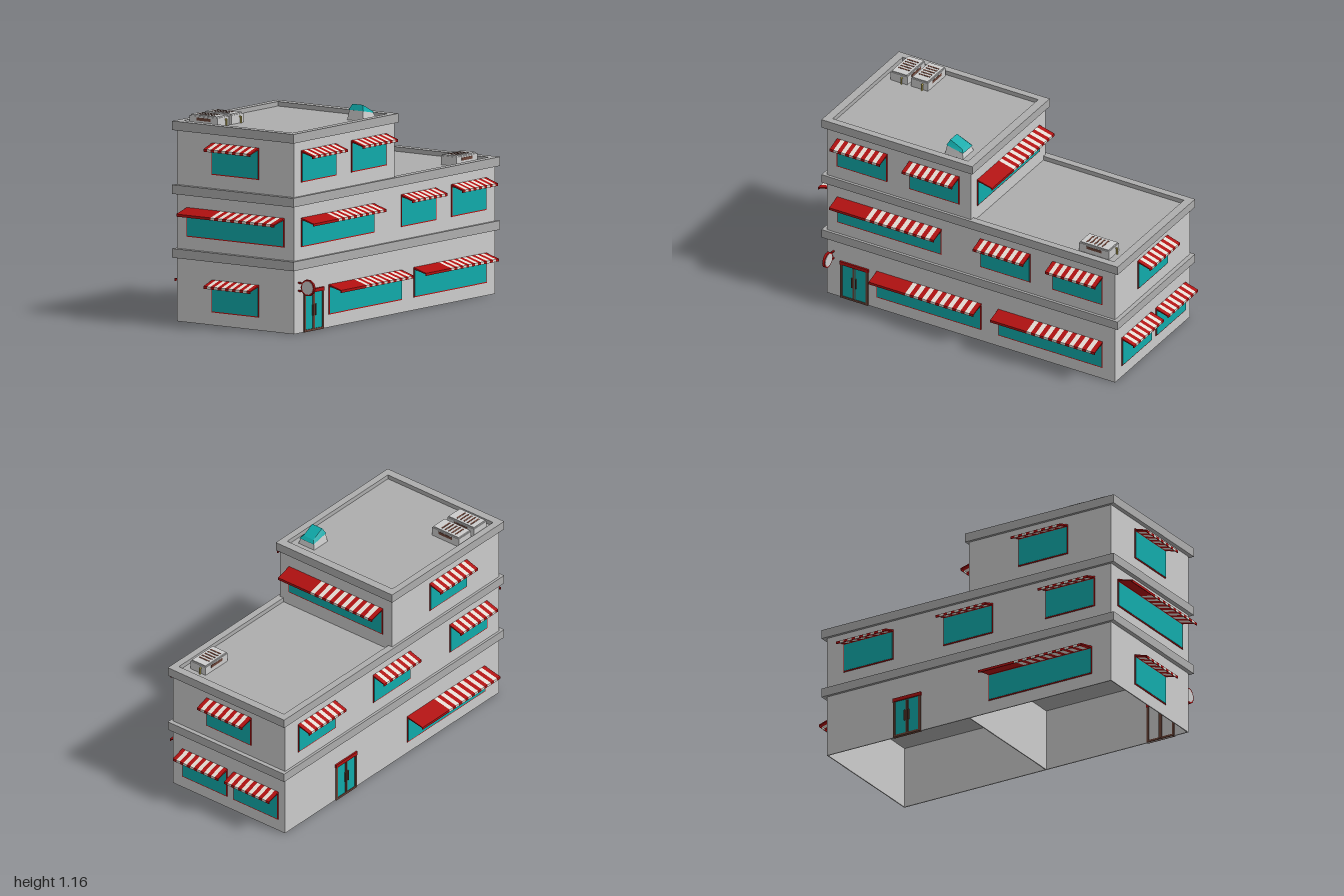
import * as THREE from 'three';
import { mergeGeometries } from 'three/addons/utils/BufferGeometryUtils.js';

const mat = (color) => new THREE.MeshStandardMaterial({ color });
const M = {
  wall: mat(0xcccccc), ledge: mat(0xadadad), glass: mat(0x10aaaa), red: mat(0xb01010),
  white: mat(0xe4dcd4), brown: mat(0x6b4438), yellow: mat(0xc8b860),
};

function add(parent, name, geometry, material, x = 0, y = 0, z = 0) {
  const mesh = new THREE.Mesh(geometry, material);
  mesh.name = name;
  mesh.position.set(x, y, z);
  parent.add(mesh);
  return mesh;
}

// box given by its minimum and maximum on each axis
function span(parent, name, material, x0, x1, y0, y1, z0, z1) {
  return add(parent, name, new THREE.BoxGeometry(x1 - x0, y1 - y0, z1 - z0), material,
    (x0 + x1) / 2, (y0 + y1) / 2, (z0 + z1) / 2);
}

const corners = ([x0, x1, z]) => [[x0, -z], [x1, -z], [x1, z], [x0, z]].map(([x, y]) => new THREE.Vector2(x, y));

// upright walls around rectangular openings; rectangles are [x0, x1, halfDepth]
function ring(parent, name, material, outer, holes, y0, y1) {
  const shape = new THREE.Shape(corners(outer));
  shape.holes = holes.map((h) => new THREE.Path(corners(h)));
  const g = new THREE.ExtrudeGeometry(shape, { depth: y1 - y0, bevelEnabled: false }).rotateX(-Math.PI / 2);
  return add(parent, name, g, material, 0, y0, 0);
}

// bent cloth strip: slope down from the wall, then a short hanging flap
function strip(x0, x1, out) {
  const drop = 0.025, flap = 0.014, t = 0.005;
  const profile = new THREE.Shape([[0, 0], [out, -drop], [out, -drop - flap], [out - t, -drop - flap],
    [out - t, -drop - t], [0, -t - 0.004]].map(([x, y]) => new THREE.Vector2(x, y)));
  return new THREE.ExtrudeGeometry(profile, { depth: x1 - x0, bevelEnabled: false })
    .rotateY(-Math.PI / 2).translate(x1, 0, 0);
}

function awning(parent, w, y, wide, out) {
  const red = [], white = [];
  let x = -w / 2;
  // wide awnings start with a plain red stretch
  if (wide) { red.push(strip(x, x + 0.23, out)); x += 0.23; }
  const n = wide ? 16 : 13, s = (w / 2 - x) / n;
  for (let i = 0; i < n; i++, x += s) ((i % 2 === 0) === wide ? white : red).push(strip(x, x + s, out));
  const g = new THREE.Group();
  g.name = 'awning';
  g.position.y = y;
  parent.add(g);
  add(g, 'awningRed', mergeGeometries(red), M.red);
  add(g, 'awningWhite', mergeGeometries(white), M.white);
}

// window on a wall group whose local +z points outward
function windowUnit(wall, cx, y0, y1, wide = false, out = wide ? 0.09 : 0.08) {
  const g = new THREE.Group(), w = wide ? 0.66 : 0.317;
  g.name = wide ? 'wideWindow' : 'window';
  g.position.x = cx;
  wall.add(g);
  span(g, 'windowFrame', M.red, -w / 2, w / 2, y0, y1 - 0.01, -0.003, 0.004);
  span(g, 'windowGlass', M.glass, -w / 2 + 0.005, w / 2 - 0.005, y0 + 0.006, y1 - 0.016, 0, 0.006);
  awning(g, w, y1, wide, out);
}

function door(wall, cx) {
  const g = new THREE.Group();
  g.name = 'door';
  g.position.x = cx;
  wall.add(g);
  span(g, 'doorGlass', M.glass, -0.08, 0.08, 0.01, 0.21, -0.003, 0.003);
  span(g, 'doorHeader', M.red, -0.09, 0.09, 0.21, 0.23, -0.012, 0.01);
  for (const s of [-1, 1]) {
    add(g, 'doorJamb', new THREE.BoxGeometry(0.014, 0.21, 0.018), M.brown, s * 0.081, 0.105, -0.002);
    add(g, 'doorStile', new THREE.BoxGeometry(0.008, 0.2, 0.018), M.brown, s * 0.005, 0.105, -0.004);
    add(g, 'doorHandle', new THREE.BoxGeometry(0.006, 0.06, 0.008), M.brown, s * 0.013, 0.115, 0.008);
  }
  span(g, 'doorSill', M.brown, -0.088, 0.088, 0, 0.012, -0.011, 0.007);
}

// rooftop cooling unit, long along local z
function coolingUnit(parent, x, y, z, turn) {
  const g = new THREE.Group();
  g.name = 'coolingUnit';
  g.position.set(x, y, z);
  g.rotation.y = turn;
  parent.add(g);
  add(g, 'unitBody', new THREE.BoxGeometry(0.106, 0.05, 0.188), M.wall, 0, 0.025, 0);
  add(g, 'unitLid', new THREE.BoxGeometry(0.096, 0.007, 0.178), M.wall, 0, 0.0535, 0);
  for (let i = 0; i < 5; i++)
    add(g, 'topSlat', new THREE.BoxGeometry(0.07, 0.003, 0.009), M.brown, 0, 0.057, -0.055 + i * 0.024);
  for (const s of [-1, 1])
    add(g, 'sideVent', new THREE.BoxGeometry(0.002, 0.016, 0.095), M.brown, s * 0.0535, 0.034, 0);
  add(g, 'pipe', new THREE.CylinderGeometry(0.005, 0.005, 0.035, 8), M.yellow, 0.02, 0.018, 0.102);
  add(g, 'pipeBend', new THREE.CylinderGeometry(0.005, 0.005, 0.014, 8).rotateX(Math.PI / 2), M.yellow, 0.02, 0.035, 0.098);
}

// four-sided block narrowing upward, with a top that slopes down along +x
function slopedBlock(w, d, h, taper, baseSlope, topSlope) {
  const g = new THREE.BoxGeometry(w, h, d).translate(0, h / 2, 0), p = g.attributes.position;
  for (let i = 0; i < p.count; i++) {
    const x = p.getX(i), up = p.getY(i) > 0, k = up ? taper : 1;
    p.setXYZ(i, x * k, p.getY(i) - x * (up ? topSlope : baseSlope), p.getZ(i) * k);
  }
  g.computeVertexNormals();
  return g;
}

export function createModel() {
  const root = new THREE.Group();
  root.name = 'building';
  const X0 = -0.905, X1 = 0.915, XT = 0.005, Z = 0.395;

  // storeys: the ground floor is two rooms open underneath
  ring(root, 'groundFloorWalls', M.wall, [X0, X1, Z],
    [[X0 + 0.006, XT - 0.003, Z - 0.006], [XT + 0.003, X1 - 0.006, Z - 0.006]], 0, 0.36);
  span(root, 'middleFloor', M.wall, X0, X1, 0.39, 0.71, -Z, Z);
  span(root, 'topFloor', M.wall, X0, XT, 0.72, 1.06, -Z, Z);

  // ledges, sunken roofs and parapets
  span(root, 'lowerLedge', M.ledge, -0.93, 0.94, 0.35, 0.4, -0.41, 0.41);
  span(root, 'lowRoof', M.ledge, -0.92, 0.93, 0.7, 0.725, -0.4, 0.4);
  ring(root, 'lowParapet', M.ledge, [-0.93, 0.94, 0.41], [[XT - 0.01, 0.893, 0.37]], 0.7, 0.75);
  span(root, 'highRoof', M.ledge, -0.92, 0.01, 1.05, 1.075, -0.4, 0.4);
  ring(root, 'highParapet', M.ledge, [-0.93, 0.022, 0.41], [[-0.883, -0.027, 0.37]], 1.05, 1.1);

  // wall frames: local +z points outward
  const wall = (name, x, z, turn) => {
    const g = new THREE.Group();
    g.name = name;
    g.position.set(x, 0, z);
    g.rotation.y = turn;
    root.add(g);
    return g;
  };
  const front = wall('frontWall', 0, Z, 0);
  const back = wall('backWall', 0, -Z, Math.PI);
  const east = wall('leftWall', X1, 0, Math.PI / 2);
  const tower = wall('towerWall', XT, 0, Math.PI / 2);
  const west = wall('rightWall', X0, 0, -Math.PI / 2);

  // front
  door(front, -0.73);
  for (const x of [-0.26, 0.507]) windowUnit(front, x, 0.07, 0.235, true, 0.086);
  windowUnit(front, -0.51, 0.47, 0.63, true, 0.086);
  for (const x of [0.222, 0.678]) windowUnit(front, x, 0.47, 0.648);
  for (const x of [-0.682, -0.227]) windowUnit(front, x, 0.825, 1.0);

  // back
  door(back, -0.4);
  windowUnit(back, 0.452, 0.07, 0.235, true, 0.11);
  for (const x of [-0.647, -0.01, 0.642]) windowUnit(back, x, 0.47, 0.648);
  windowUnit(back, 0.47, 0.825, 1.0);

  // sides
  for (const x of [-0.17, 0.19]) windowUnit(east, x, 0.07, 0.248);
  windowUnit(east, 0, 0.47, 0.648);
  windowUnit(tower, 0, 0.805, 0.97, true, 0.095);
  windowUnit(west, 0, 0.07, 0.248);
  windowUnit(west, 0, 0.47, 0.63, true, 0.095);
  windowUnit(west, 0, 0.825, 1.0);

  // rooftop equipment
  coolingUnit(root, -0.788, 1.075, -0.265, 0);
  coolingUnit(root, -0.658, 1.075, -0.265, 0);
  coolingUnit(root, 0.745, 0.725, 0.28, Math.PI / 2);
  add(root, 'skylightBase', slopedBlock(0.115, 0.11, 0.045, 0.84, 0, 0.2), M.wall, -0.138, 1.075, 0.28);
  add(root, 'skylightGlass', slopedBlock(0.106, 0.1, 0.024, 0.7, 0.2, 0.35), M.glass, -0.136, 1.119, 0.28);

  // round hanging sign
  const sign = new THREE.Group();
  sign.name = 'hangingSign';
  sign.position.set(-0.862, 0.255, 0.46);
  root.add(sign);
  const disc = (r, t) => new THREE.CylinderGeometry(r, r, t, 10).rotateZ(Math.PI / 2);
  add(sign, 'signRim', disc(0.046, 0.013), M.red);
  add(sign, 'signFace', disc(0.038, 0.016), M.wall);
  for (const y of [-0.022, 0.022])
    add(sign, 'signBar', new THREE.BoxGeometry(0.008, 0.008, 0.045), M.red, 0, y, -0.052);
  return root;
}
